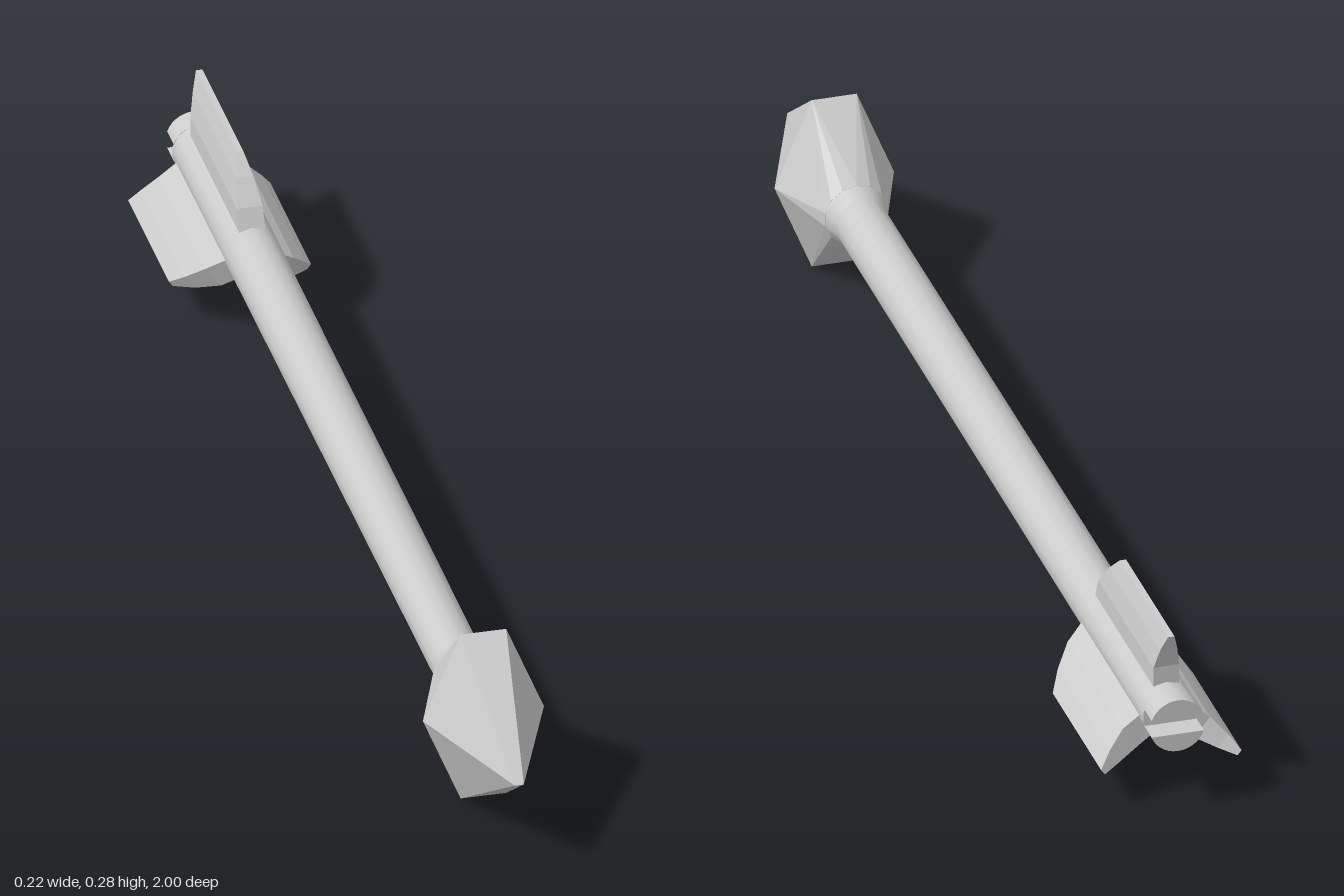
import * as THREE from 'three';
import { ConvexGeometry } from 'three/addons/geometries/ConvexGeometry.js';

const CENTRE_Y = 0.142;
const smooth = new THREE.MeshStandardMaterial({ color: 0xcccccc });
const faceted = new THREE.MeshStandardMaterial({ color: 0xcccccc, flatShading: true });

function add(parent, name, geometry, material) {
  const mesh = new THREE.Mesh(geometry, material);
  mesh.name = name;
  parent.add(mesh);
  return mesh;
}

// Tapered rod along z, from zBack to zFront
function rod(rFront, rBack, zFront, zBack) {
  return new THREE.CylinderGeometry(rFront, rBack, zFront - zBack, 14)
    .rotateX(Math.PI / 2)
    .translate(0, 0, (zFront + zBack) / 2);
}

// Faceted head: short tip edge, flat hexagon at the widest point, round back
function headGeometry() {
  const points = [];
  for (const s of [-1, 1]) {
    points.push(new THREE.Vector3(s * 0.007, 0, 1), new THREE.Vector3(s * 0.093, 0, 0.78));
    for (const t of [-1, 1]) points.push(new THREE.Vector3(s * 0.035, t * 0.141, 0.78));
  }
  for (let i = 0; i < 14; i++) {
    const a = (i / 14) * Math.PI * 2;
    points.push(new THREE.Vector3(Math.sin(a) * 0.05, Math.cos(a) * 0.05, 0.665));
  }
  return new ConvexGeometry(points);
}

// Feather: a box whose rows follow [radius, half width, front z, back z]
function featherGeometry() {
  const rows = [
    [0.03, 0.02, -0.635, -0.94],
    [0.07, 0.02, -0.655, -0.94],
    [0.106, 0.013, -0.685, -0.953],
    [0.133, 0.005, -0.715, -0.966],
  ];
  const geometry = new THREE.BoxGeometry(1, 1, 1, 1, rows.length - 1, 1);
  const p = geometry.attributes.position;
  for (let i = 0; i < p.count; i++) {
    const [r, w, front, back] = rows[Math.round((p.getY(i) + 0.5) * (rows.length - 1))];
    p.setXYZ(i, Math.sign(p.getX(i)) * w, r, p.getZ(i) > 0 ? front : back);
  }
  geometry.computeVertexNormals();
  return geometry;
}

// One half of the slotted string end
function nockGeometry() {
  const r = 0.043;
  const a = Math.asin(0.014 / r);
  const shape = new THREE.Shape();
  shape.absarc(0, 0, r, a, Math.PI - a, false);
  shape.closePath();
  return new THREE.ExtrudeGeometry(shape, { depth: 0.04, bevelEnabled: false, curveSegments: 7 })
    .translate(0, 0, -1);
}

export function createModel() {
  const group = new THREE.Group();
  group.name = 'arrow';
  const arrow = new THREE.Group();
  arrow.name = 'arrowParts';
  arrow.position.y = CENTRE_Y;
  group.add(arrow);

  add(arrow, 'shaft', rod(0.041, 0.043, 0.67, -0.962), smooth);
  add(arrow, 'head', headGeometry(), faceted);
  add(arrow, 'collar', rod(0.05, 0.041, 0.666, 0.635), smooth);

  // Three feathers: one on top, two spread below
  const feather = featherGeometry();
  const spread = THREE.MathUtils.degToRad(127);
  [['topFeather', 0], ['leftFeather', -spread], ['rightFeather', spread]].forEach(([name, angle]) => {
    add(arrow, name, feather, faceted).rotation.z = angle;
  });

  // Two prongs with a horizontal slot between them
  const nock = nockGeometry();
  add(arrow, 'upperNock', nock, faceted);
  add(arrow, 'lowerNock', nock, faceted).rotation.z = Math.PI;

  return group;
}
